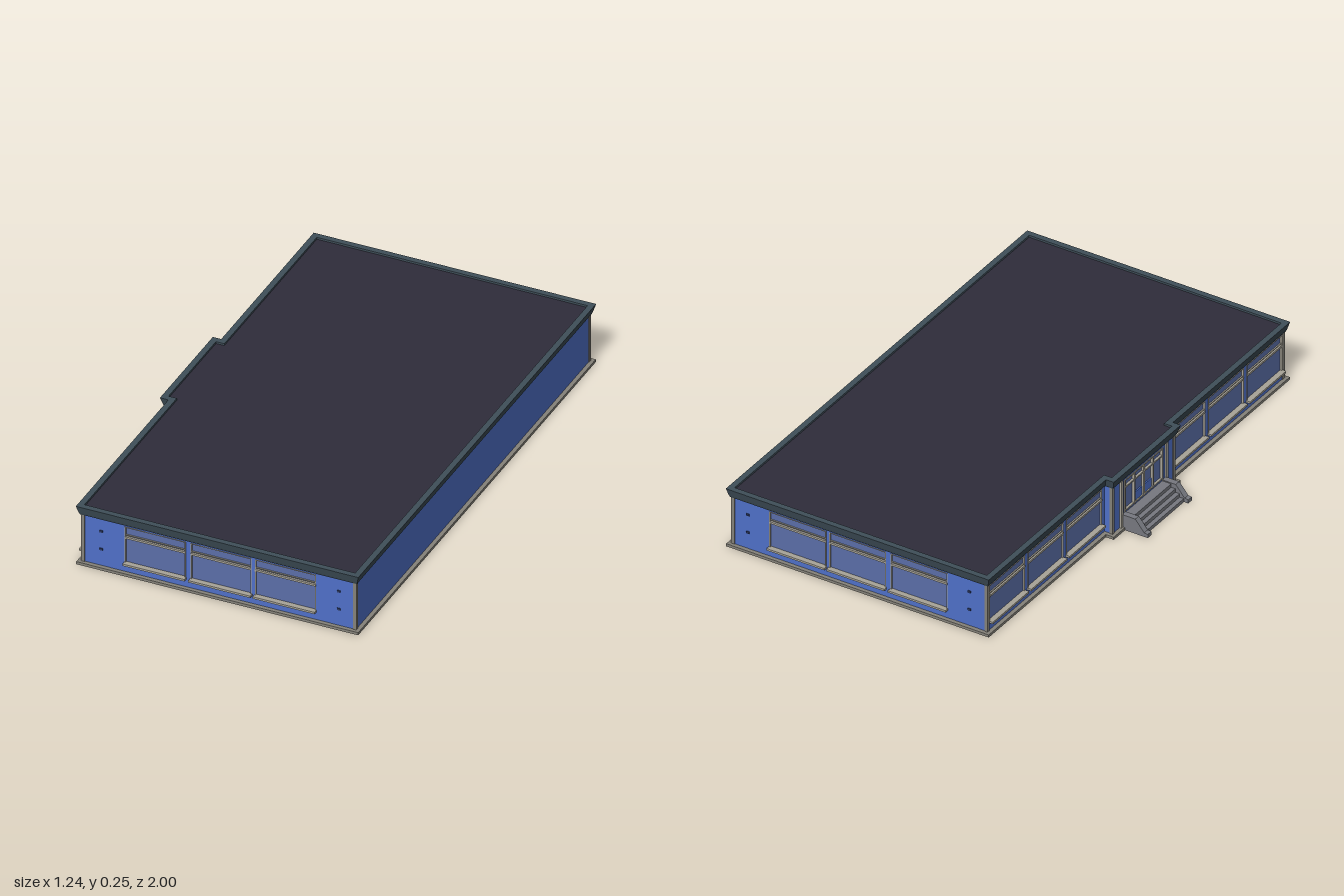
import * as THREE from 'three';

const mat = (name, color, side = THREE.FrontSide) => {
  const m = new THREE.MeshStandardMaterial({ color, side });
  m.name = name;
  return m;
};

export function createModel() {
  const model = new THREE.Group();
  model.name = 'building';
  const wallBlue = mat('wall blue', 0x4f70c8);
  const glass = mat('window glass', 0x5b6ea8, THREE.DoubleSide);
  const trim = mat('pale trim', 0xa8a498);
  const plinthGrey = mat('plinth grey', 0x85827a);
  const fasciaGrey = mat('fascia slate', 0x3f4f59, THREE.DoubleSide);
  const roofDark = mat('roof dark', 0x2f2d3b);
  const stepGrey = mat('step grey', 0x777980);
  const ventDark = mat('vent dark', 0x2c3a66);

  const H = 0.212, T = 0.012;
  const X0 = -0.475, X1 = 0.602, XP = -0.508, ZE = 0.982, ZP = 0.205;
  const CX = (X0 + X1) / 2;

  const add = (parent, name, geo, material, x = 0, y = 0, z = 0) => {
    const m = new THREE.Mesh(geo, material);
    m.name = name;
    m.position.set(x, y, z);
    parent.add(m);
    return m;
  };
  const box = (parent, name, w, h, d, material, x, y, z) =>
    add(parent, name, new THREE.BoxGeometry(w, h, d), material, x, y, z);

  // Floor plan with the entrance bay, grown outward by d
  const outline = d => [
    [X0 - d, -ZE - d], [X1 + d, -ZE - d], [X1 + d, ZE + d], [X0 - d, ZE + d],
    [X0 - d, ZP + d], [XP - d, ZP + d], [XP - d, -ZP - d], [X0 - d, -ZP - d],
  ].map(p => new THREE.Vector2(...p));

  // Plinth ring, open in the middle
  const ring = new THREE.Shape(outline(0.016));
  ring.holes.push(new THREE.Path(outline(-0.022)));
  const ringGeo = new THREE.ExtrudeGeometry(ring, { depth: 0.011, bevelEnabled: false });
  add(model, 'plinth', ringGeo.rotateX(-Math.PI / 2), plinthGrey);

  // Flared roof edge, lofted through offset outlines
  const levels = [[0.208, 0.006], [0.216, 0.009], [0.245, 0.017], [0.245, -0.006], [0.237, -0.006]];
  const pos = [];
  for (let k = 0; k < levels.length - 1; k++) {
    const [y0, d0] = levels[k], [y1, d1] = levels[k + 1];
    const lo = outline(d0), hi = outline(d1);
    lo.forEach((a, i) => {
      const j = (i + 1) % lo.length;
      const A = [a.x, y0, -a.y], B = [lo[j].x, y0, -lo[j].y];
      const C = [hi[j].x, y1, -hi[j].y], D = [hi[i].x, y1, -hi[i].y];
      pos.push(...A, ...B, ...C, ...A, ...C, ...D);
    });
  }
  const fascia = new THREE.BufferGeometry();
  fascia.setAttribute('position', new THREE.Float32BufferAttribute(pos, 3));
  fascia.computeVertexNormals();
  add(model, 'roofEdge', fascia, fasciaGrey);

  // Roof deck and ceiling
  const flat = d => new THREE.ShapeGeometry(new THREE.Shape(outline(d))).rotateX(-Math.PI / 2);
  add(model, 'roofDeck', flat(-0.006), roofDark, 0, 0.237, 0);
  add(model, 'ceiling', flat(0.006), fasciaGrey, 0, 0.208, 0);

  // Wall panel facing local +z, with rectangular openings [x, y, w, h]
  const facade = (name, width, x, z, angle, openings = []) => {
    const g = new THREE.Group();
    g.name = name;
    g.position.set(x, 0, z);
    g.rotation.y = angle;
    const rect = (P, cx, y, w, h) => new P([
      [cx - w / 2, y], [cx + w / 2, y], [cx + w / 2, y + h], [cx - w / 2, y + h],
    ].map(p => new THREE.Vector2(...p)));
    const s = rect(THREE.Shape, 0, 0.002, width, H - 0.002);
    openings.forEach(o => s.holes.push(rect(THREE.Path, ...o)));
    const geo = new THREE.ExtrudeGeometry(s, { depth: T, bevelEnabled: false });
    add(g, 'wallPanel', geo, wallBlue, 0, 0, -T);
    model.add(g);
    return g;
  };

  // Window with frame, transom bars and projecting sill
  const WY = 0.045, WH = 0.155;
  const addWindow = (g, x, w) => {
    add(g, 'windowGlass', new THREE.PlaneGeometry(w, WH), glass, x, WY + WH / 2, -0.005);
    for (const s of [-1, 1])
      box(g, 'windowJamb', 0.004, WH, T, trim, x + s * (w / 2 - 0.002), WY + WH / 2, -0.004);
    box(g, 'windowHead', w, 0.003, T, trim, x, WY + WH - 0.0015, -0.004);
    box(g, 'transom', w, 0.008, T, trim, x, 0.155, -0.003);
    box(g, 'transomRail', w, 0.003, 0.008, trim, x, 0.165, -0.004);
    box(g, 'windowSill', w + 0.004, 0.008, 0.03, trim, x, 0.047, 0.002);
  };

  // End walls, each with three windows and small vents
  for (const s of [1, -1]) {
    const wins = [-0.187, 0.072, 0.325].map(x => [s * (x - CX), 0.24]);
    const g = facade(s > 0 ? 'frontWall' : 'backWall', X1 - X0, CX, s * ZE, s > 0 ? 0 : Math.PI,
      wins.map(([x, w]) => [x, WY, w, WH]));
    wins.forEach(([x, w]) => addWindow(g, x, w));
    for (const x of [-0.4, 0.535])
      for (const y of [0.08, 0.155])
        box(g, 'wallVent', 0.012, 0.008, 0.006, ventDark, s * (x - CX), y, 0.001);
  }

  // Plain long wall
  facade('leftWall', 2 * ZE, X1, 0, Math.PI / 2);

  // Wings on the entrance side
  for (const s of [-1, 1]) {
    const mid = (ZE + ZP) / 2;
    const xs = [-0.255, 0, 0.255].map(x => x + s * 0.004);
    const g = facade('wingWall', ZE - ZP, X0, s * mid, -Math.PI / 2, xs.map(x => [x, WY, 0.236, WH]));
    xs.forEach(x => addWindow(g, x, 0.236));
    // Side cheek of the entrance bay
    facade('bayCheek', X0 - XP, (X0 + XP) / 2, s * ZP, s > 0 ? 0 : Math.PI);
  }

  // Entrance bay with double door and side lights
  const DY = 0.062, DH = 0.135;
  const bay = facade('entranceWall', 2 * ZP, XP, 0, -Math.PI / 2, [[0, DY, 0.25, DH]]);
  add(bay, 'doorGlass', new THREE.PlaneGeometry(0.25, DH), glass, 0, DY + DH / 2, -0.006);
  for (const x of [-0.123, -0.062, 0, 0.062, 0.123])
    box(bay, 'doorPost', 0.007, DH, 0.014, trim, x, DY + DH / 2, -0.003);
  for (const y of [DY + 0.004, 0.165, DY + DH - 0.003])
    box(bay, 'doorRail', 0.25, 0.006, 0.012, trim, 0, y, -0.003);
  for (const s of [-1, 1]) {
    box(bay, 'doorPanel', 0.05, 0.035, 0.006, wallBlue, s * 0.031, DY + 0.025, -0.004);
    box(bay, 'bayPilaster', 0.014, H - 0.01, 0.012, trim, s * 0.15, H / 2, 0.001);
  }

  // Corner posts
  for (const s of [-1, 1])
    for (const [x, z] of [[X0 + 0.004, ZE - 0.004], [X1 - 0.004, ZE - 0.004], [XP + 0.004, ZP - 0.004]])
      box(model, 'cornerPost', 0.014, H - 0.008, 0.014, plinthGrey, x, H / 2 + 0.002, s * z);

  // Entrance steps between two sloped side walls
  const cheek = new THREE.Shape([
    [-0.62, 0], [-0.51, 0], [-0.51, 0.062], [-0.567, 0.062], [-0.605, 0.017], [-0.62, 0.015],
  ].map(p => new THREE.Vector2(...p)));
  const cheekGeo = new THREE.ExtrudeGeometry(cheek, { depth: 0.024, bevelEnabled: false });
  for (const s of [-1, 1])
    add(model, 'stepSideWall', cheekGeo, stepGrey, 0, 0, s * 0.134 - 0.012);
  for (let i = 0; i < 4; i++) {
    const front = -0.602 + i * 0.018;
    const h = 0.0145;
    box(model, 'step', -0.51 - front, h, 0.246, stepGrey, (front - 0.51) / 2, h * (i + 0.5), 0);
  }

  return model;
}
